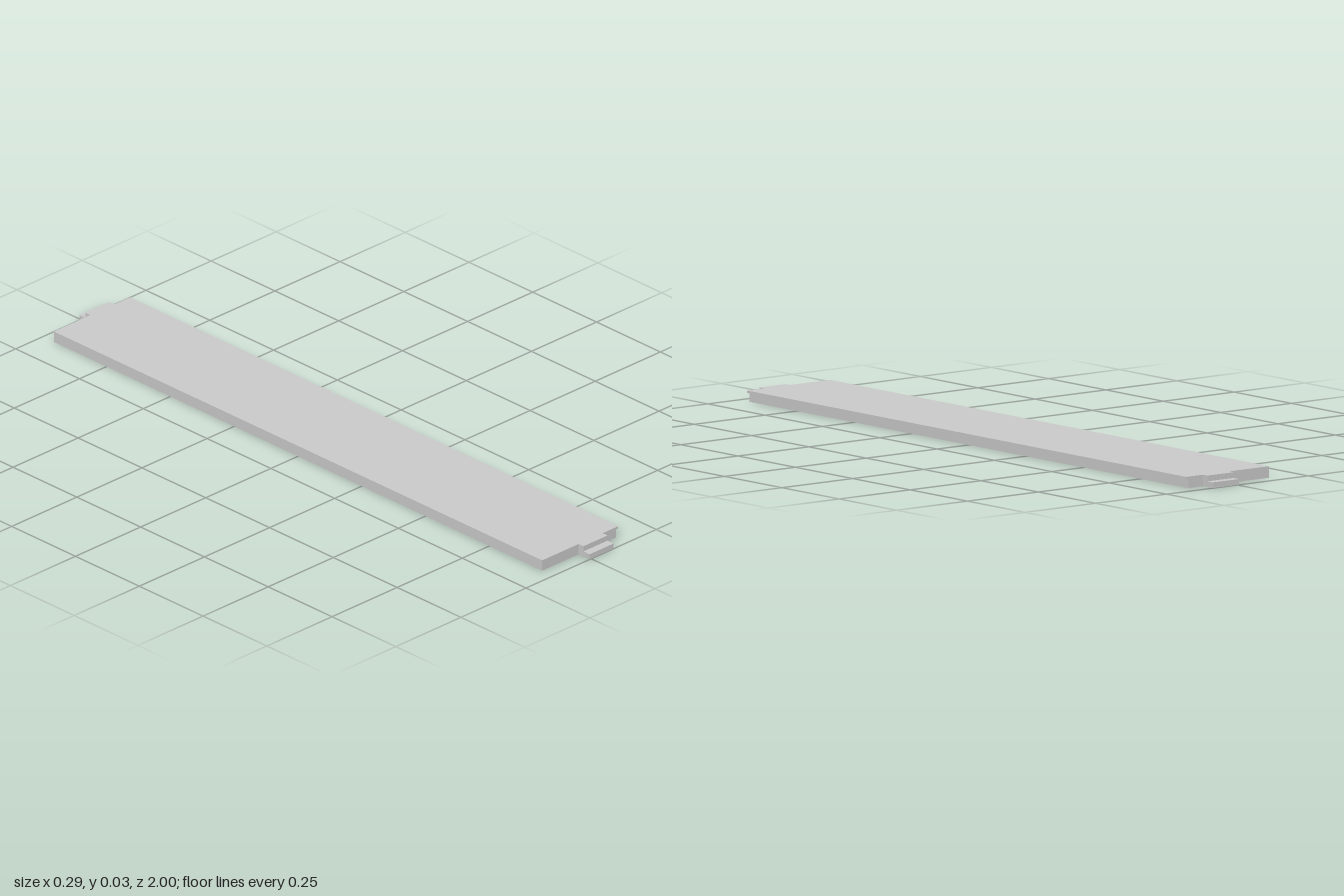
import * as THREE from 'three';

const material = new THREE.MeshStandardMaterial({ color: 0xcccccc, flatShading: true });

// Extrudes an outline of [x, y] points, centred along z
function extrude(name, points, depth) {
  const shape = new THREE.Shape(points.map(([x, y]) => new THREE.Vector2(x, y)));
  const geometry = new THREE.ExtrudeGeometry(shape, { depth, bevelEnabled: false });
  geometry.translate(0, 0, -depth / 2);
  const mesh = new THREE.Mesh(geometry, material);
  mesh.name = name;
  return mesh;
}

export function createModel() {
  const group = new THREE.Group();
  group.name = 'plank';
  const top = 0.032;

  // Long board with a thin overhanging lip along its +x edge
  group.add(extrude('board', [
    [-0.146, 0], [0.138, 0], [0.138, 0.025], [0.146, 0.025], [0.146, top], [-0.146, top],
  ], 1.914));

  // Stepped tab at each end: full height, then a low tongue
  for (const end of [1, -1]) {
    const tab = extrude(end > 0 ? 'frontTab' : 'backTab', [
      [0.957, 0], [1, 0], [1, 0.016], [0.976, 0.016], [0.976, top], [0.957, top],
    ], 0.092);
    tab.rotation.y = -end * Math.PI / 2;
    tab.position.x = 0.04;
    group.add(tab);
  }
  return group;
}
